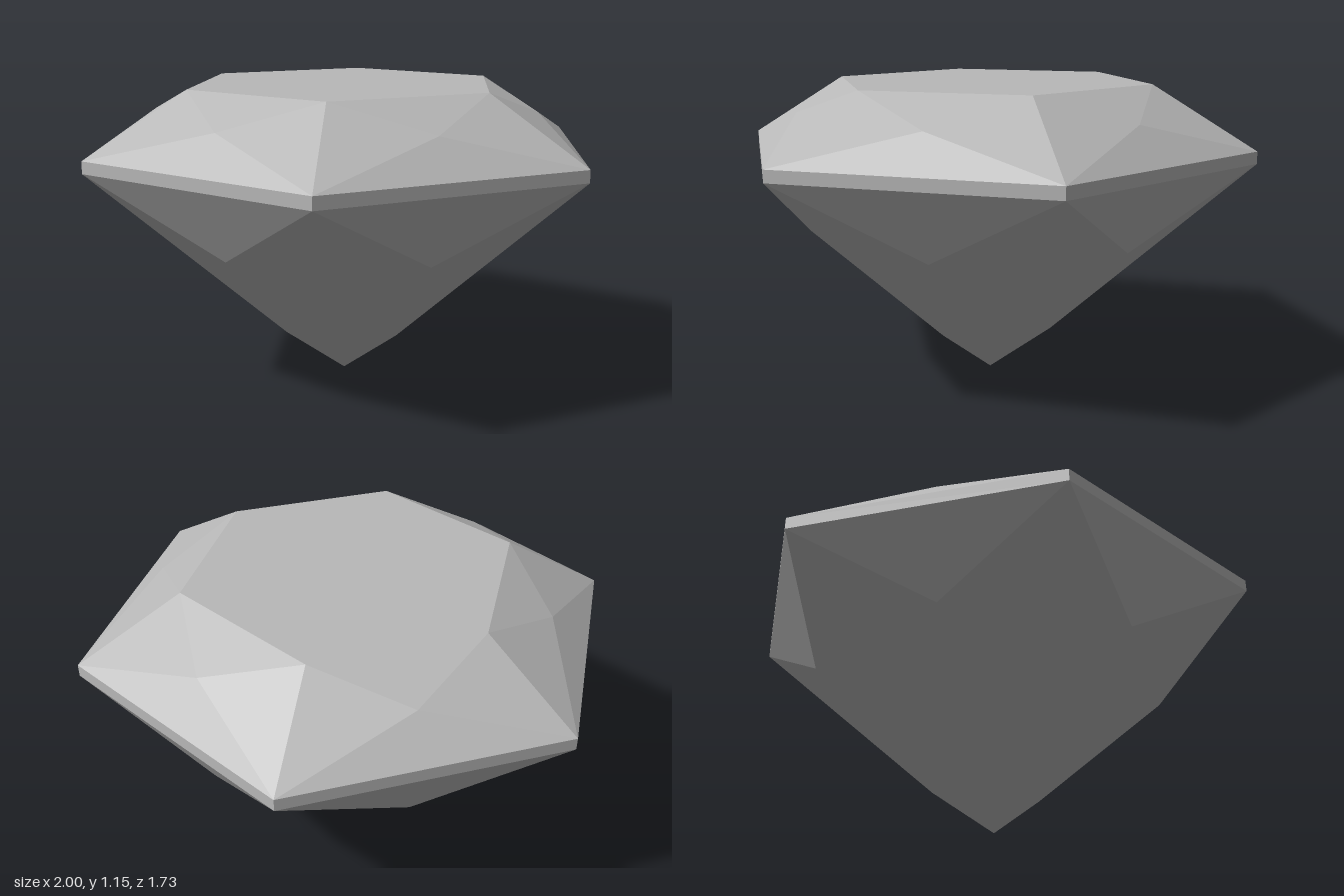
import * as THREE from 'three';

// Point on a ring: step counts in sixths of a turn
const at = (radius, y, step) => {
  const a = (step * Math.PI) / 3;
  return [radius * Math.cos(a), y, -radius * Math.sin(a)];
};

// Flat facets from convex polygons, corners counter-clockwise from outside
function facets(name, polygons, material) {
  const positions = [];
  for (const p of polygons) {
    for (let i = 1; i < p.length - 1; i++) positions.push(...p[0], ...p[i], ...p[i + 1]);
  }
  const geometry = new THREE.BufferGeometry();
  geometry.setAttribute('position', new THREE.Float32BufferAttribute(positions, 3));
  geometry.computeVertexNormals();
  const mesh = new THREE.Mesh(geometry, material);
  mesh.name = name;
  return mesh;
}

export function createModel() {
  const gem = new THREE.Group();
  gem.name = 'cutGem';
  const stone = new THREE.MeshStandardMaterial({ color: 0xb8b8b8, flatShading: true });
  stone.name = 'greyStone';

  // Rings of corners, from the table down to the tip
  const table = (i) => at(0.617, 1.146, i);
  const crownMid = (i) => at(0.73, 1.042, i + 0.5);
  const girdleTop = (i) => at(1, 0.916, i);
  const girdleBottom = (i) => at(1, 0.871, i);
  const pavilionMid = (i) => at(0.695, 0.595, i + 0.5);
  const pavilionLow = (i) => at(0.246, 0.1824, i);
  const tip = [0, 0, 0];

  const top = [];
  const crown = [];
  const girdle = [];
  const pavilion = [];
  for (let i = 0; i < 6; i++) {
    const j = i + 1;
    top.push(table(i));
    // Crown: star, two kite halves and a girdle facet per side
    crown.push(
      [table(i), crownMid(i), table(j)],
      [table(i), girdleTop(i), crownMid(i)],
      [table(j), crownMid(i), girdleTop(j)],
      [girdleTop(i), girdleTop(j), crownMid(i)],
    );
    girdle.push([girdleTop(i), girdleBottom(i), girdleBottom(j), girdleTop(j)]);
    // Pavilion: girdle facet, two long facets and a kite to the tip per side
    pavilion.push(
      [girdleBottom(i), pavilionMid(i), girdleBottom(j)],
      [girdleBottom(i), pavilionLow(i), pavilionMid(i)],
      [girdleBottom(j), pavilionMid(i), pavilionLow(j)],
      [pavilionMid(i), pavilionLow(i), tip, pavilionLow(j)],
    );
  }

  gem.add(
    facets('table', [top], stone),
    facets('crown', crown, stone),
    facets('girdle', girdle, stone),
    facets('pavilion', pavilion, stone),
  );
  return gem;
}
